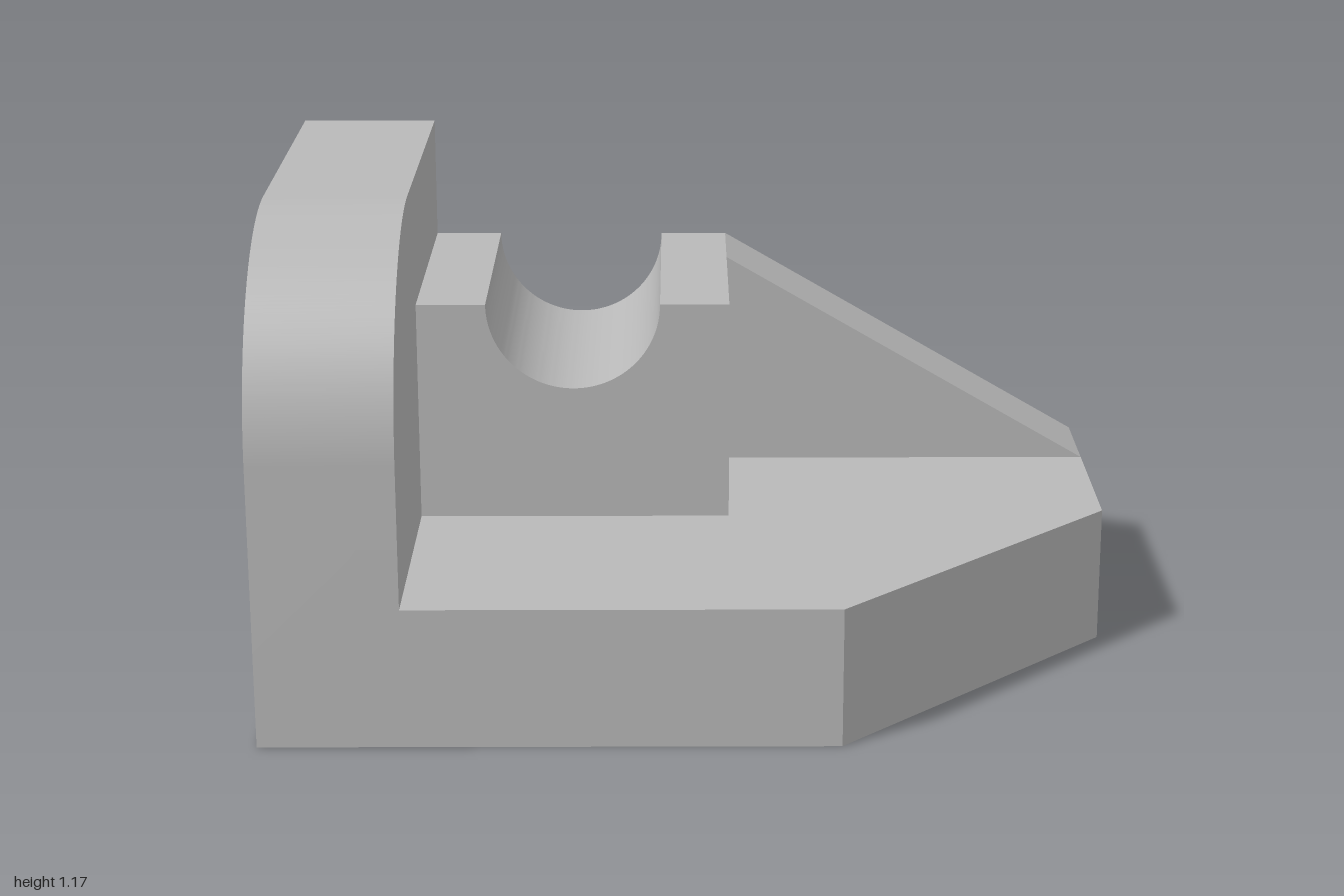
import * as THREE from 'three';
import { toCreasedNormals } from 'three/addons/utils/BufferGeometryUtils.js';

const FRONT = 2 / 3, BACK = -2 / 3;   // z extents
const WALL = -2 / 3;                  // inner face of the side wall
const DECK = 1 / 3, TOP = 0.868;      // base and block heights
const BLOCK = 0.083;                  // right-hand face of the block

export function createModel() {
  const group = new THREE.Group();
  const grey = new THREE.MeshStandardMaterial({ color: 0xb8b8b8 });
  grey.name = 'grey';

  const outline = (points) => new THREE.Shape(points.map(([a, b]) => new THREE.Vector2(a, b)));
  const extrude = (shape, depth) =>
    new THREE.ExtrudeGeometry(shape, { depth, bevelEnabled: false, curveSegments: 40 });
  const add = (name, geometry) => {
    const mesh = new THREE.Mesh(toCreasedNormals(geometry, 0.5), grey);
    mesh.name = name;
    group.add(mesh);
  };

  // Base plate with a cut corner, drawn in x and -z
  const base = outline([[WALL, -FRONT], [1 / 3, -FRONT], [1, 0], [1, -BACK], [WALL, -BACK]]);
  add('basePlate', extrude(base, DECK).rotateX(-Math.PI / 2));

  // Side wall with a rounded front top corner, drawn in -z and y
  const height = 1.167, radius = 0.5;
  const wall = new THREE.Shape();
  wall.moveTo(-FRONT, 0);
  wall.lineTo(-BACK, 0);
  wall.lineTo(-BACK, height);
  wall.lineTo(-FRONT + radius, height);
  wall.absarc(-FRONT + radius, height - radius, radius, Math.PI / 2, Math.PI, false);
  wall.closePath();
  add('sideWall', extrude(wall, 1 / 3).rotateY(Math.PI / 2).translate(-1, 0, 0));

  // Cradle block with a half-round groove
  const grooveX = (WALL + BLOCK) / 2, grooveR = 0.209;
  const block = new THREE.Shape();
  block.moveTo(WALL, DECK);
  block.lineTo(BLOCK, DECK);
  block.lineTo(BLOCK, TOP);
  block.lineTo(grooveX + grooveR, TOP);
  block.absarc(grooveX, TOP, grooveR, 0, -Math.PI, true);
  block.lineTo(WALL, TOP);
  block.closePath();
  add('cradleBlock', extrude(block, 0.7).translate(0, 0, BACK));

  // Sloping rib along the back
  const rib = outline([[BLOCK, DECK], [1, DECK], [BLOCK, TOP]]);
  add('slopingRib', extrude(rib, 0.25).translate(0, 0, BACK));

  return group;
}
